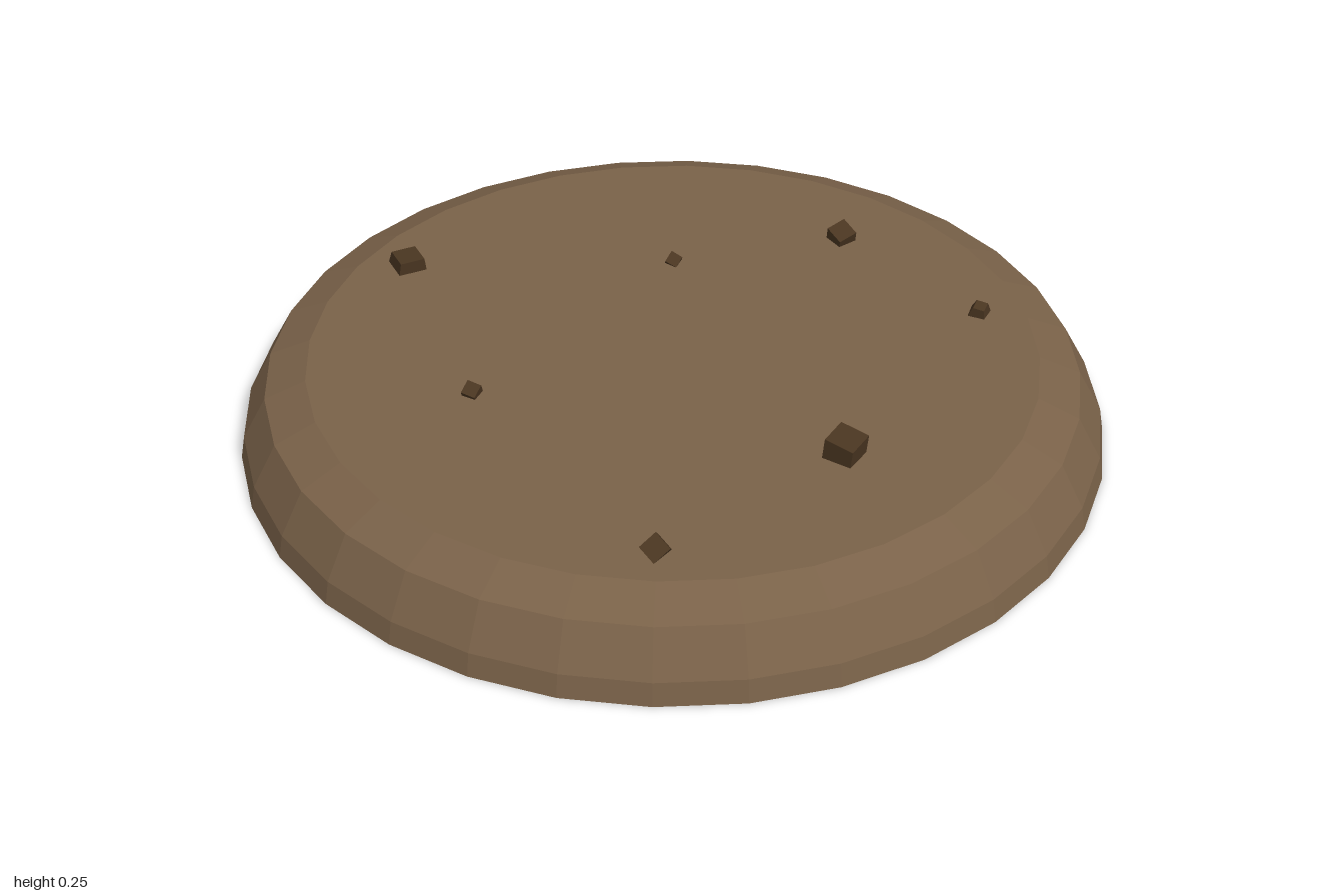
import * as THREE from 'three';

const soil = new THREE.MeshStandardMaterial({ color: 0x7a6249, flatShading: true });
const clod = new THREE.MeshStandardMaterial({ color: 0x4a3621, flatShading: true });

// Rough clod: a box whose top is narrowed and shifted, then tilted
function makeClod({ at, size, turn = [0, 0, 0], taper = 1, shift = [0, 0] }) {
  const geo = new THREE.BoxGeometry(...size);
  const p = geo.attributes.position;
  for (let i = 0; i < p.count; i++) {
    if (p.getY(i) > 0) {
      p.setX(i, p.getX(i) * taper + shift[0]);
      p.setZ(i, p.getZ(i) * taper + shift[1]);
    }
  }
  geo.computeVertexNormals();
  const mesh = new THREE.Mesh(geo, clod);
  mesh.position.set(...at);
  mesh.rotation.set(...turn);
  return mesh;
}

export function createModel() {
  const model = new THREE.Group();
  model.name = 'dirtMound';

  // Round mound with a rounded shoulder, flat top and flat underside
  const profile = [[0, 0], [1, 0], [0.99, 0.055], [0.935, 0.155], [0.84, 0.195], [0, 0.195]]
    .map(([r, y]) => new THREE.Vector2(r, y));
  const mound = new THREE.Mesh(new THREE.LatheGeometry(profile, 32), soil);
  mound.name = 'mound';
  model.add(mound);

  // Clods scattered over the top
  const clods = new THREE.Group();
  clods.name = 'clods';
  [
    { at: [-0.36, 0.2, -0.645], size: [0.075, 0.055, 0.08], turn: [0, -0.1, 0], taper: 0.8, shift: [0, 0.012] },
    { at: [0.195, 0.2, -0.318], size: [0.03, 0.03, 0.03], turn: [0.5, 0.6, 0.4] },
    { at: [0.6, 0.205, -0.192], size: [0.05, 0.05, 0.05], turn: [0.35, 0.1, 0.2] },
    { at: [-0.478, 0.2, -0.08], size: [0.034, 0.034, 0.034], turn: [0.2, 0.6, 0.4] },
    { at: [0.688, 0.198, 0.245], size: [0.055, 0.05, 0.055], turn: [0.1, 0.6, 0.2], taper: 0.5, shift: [0, 0.005] },
    { at: [0.103, 0.212, 0.545], size: [0.07, 0.07, 0.07], turn: [0.15, 0.45, 0] },
    { at: [-0.418, 0.205, 0.617], size: [0.046, 0.046, 0.046], turn: [0.6, 0.3, 0.5] },
  ].forEach((spec, i) => {
    const mesh = makeClod(spec);
    mesh.name = `clod${i + 1}`;
    clods.add(mesh);
  });
  model.add(clods);

  return model;
}
